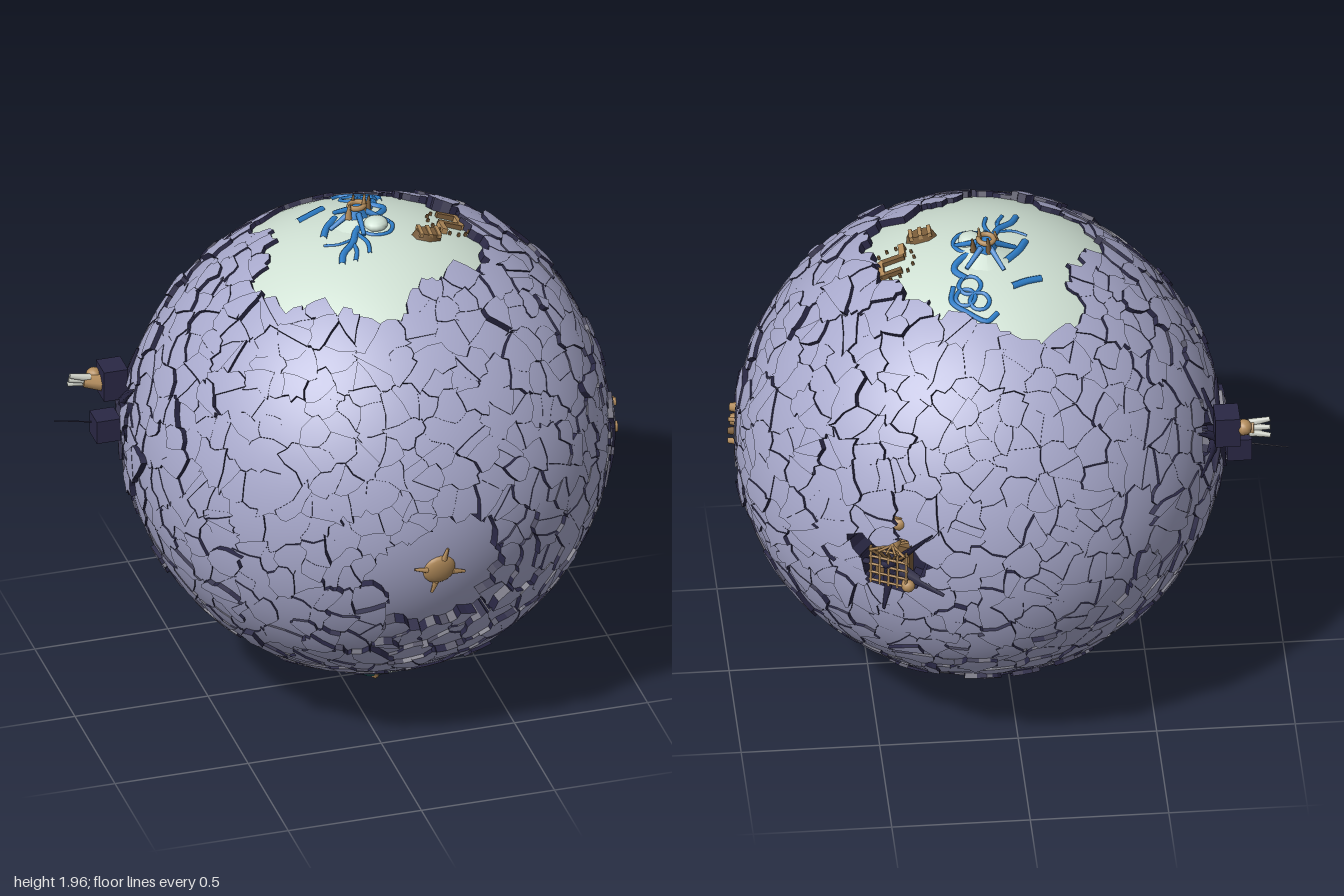
import * as THREE from 'three';
import { ConvexGeometry } from 'three/addons/geometries/ConvexGeometry.js';

const V = (x, y, z) => new THREE.Vector3(x, y, z);
const UP = V(0, 1, 0);
const mat = (name, color, side = THREE.FrontSide) => {
  const m = new THREE.MeshStandardMaterial({ color, side });
  m.name = name;
  return m;
};
const hash = (n) => { const s = Math.sin(n * 12.9898 + 4.137) * 43758.5453; return s - Math.floor(s); };

export function createModel() {
  const model = new THREE.Group();
  const M = {
    stone: mat('lavender stone', 0xa9aacd), dark: mat('dark rock', 0x2a2845),
    moss: mat('pale green ground', 0xd0e1d4, THREE.DoubleSide), blue: mat('blue water', 0x2f80cc),
    tan: mat('tan timber', 0xb48d5c), brown: mat('brown timber', 0x7d5f3c),
    teal: mat('teal glass', 0x2c8085), bone: mat('bone', 0xcfd2c8),
  };
  const planet = new THREE.Group();
  planet.name = 'planet';
  planet.position.set(0.1, 1, 0);
  model.add(planet);

  const add = (parent, name, geo, material, x = 0, y = 0, z = 0) => {
    const m = new THREE.Mesh(geo, material);
    m.name = name;
    m.position.set(x, y, z);
    parent.add(m);
    return m;
  };
  const box = (p, name, m, w, h, d, x, y, z) => add(p, name, new THREE.BoxGeometry(w, h, d), m, x, y, z);
  // Straight bar between two points
  const bar = (p, name, m, a, b, r, r2 = r) => {
    const d = b.clone().sub(a);
    const o = add(p, name, new THREE.CylinderGeometry(r2, r, d.length(), 6), m);
    o.position.copy(a).add(b).multiplyScalar(0.5);
    o.quaternion.setFromUnitVectors(UP, d.normalize());
    return o;
  };
  // Group standing on the sphere with its y axis pointing outwards
  const site = (name, dir, r) => {
    const g = new THREE.Group();
    g.name = name;
    const d = dir.clone().normalize();
    g.position.copy(d).multiplyScalar(r);
    g.quaternion.setFromUnitVectors(UP, d);
    planet.add(g);
    return g;
  };

  const crater = V(0.04, -0.16, 0.85).normalize();
  const latticeDir = V(0.39, 0.01, -0.79).normalize();
  const towerDir = V(-0.84, 0.13, -0.27).normalize();
  const ruinDir = V(0.86, 0.01, 0.14).normalize();

  // True where the stone shell is open
  const isOpen = (d) => {
    if (d.angleTo(crater) < 0.3) return true;
    if (d.angleTo(latticeDir) < 0.13 || d.angleTo(towerDir) < 0.11) return true;
    const x = d.x * 0.87, z = d.z * 0.87;
    if (d.y > 0) {
      const a = Math.atan2(z, x + 0.04);
      return Math.hypot(x + 0.04, z) < 0.4 + 0.03 * Math.sin(3 * a + 1) + 0.025 * Math.sin(5 * a);
    }
    return Math.hypot(x, z) < 0.335 + 0.03 * Math.sin(4 * Math.atan2(z, x));
  };
  // Broad swellings of the shell: direction and height
  const swellings = [[V(0.75, 0.3, -0.52), 0.042], [V(-0.85, 0.1, -0.25), 0.02], [V(0, 0.45, 0.8), 0.015],
    [V(0.55, 0.75, 0.1), 0.025], [V(0.95, 0, 0.1), 0.01]].map(([d, h]) => [d.normalize(), h]);
  // Outer radius of a stone plate
  const plateRadius = (d, i) => {
    const lift = hash(i + 9) < 0.1 ? 0.022 : hash(i) * 0.013;
    const sink = 1 - THREE.MathUtils.smoothstep(d.angleTo(crater), 0.27, 0.65);
    const swell = Math.max(...swellings.map(([s, h]) => h * (1 - THREE.MathUtils.smoothstep(d.angleTo(s), 0.15, 0.75))));
    return 0.86 + lift + swell - 0.05 * sink;
  };

  // Seeds of the plates, spread over the sphere with jitter
  const N = 1250, seeds = [];
  for (let i = 0; i < N; i++) {
    const y = 1 - (2 * i + 1) / N, r = Math.sqrt(1 - y * y), a = i * 2.399963;
    const p = V(r * Math.cos(a), y, r * Math.sin(a));
    p.add(V(hash(i * 3 + 1) - 0.5, hash(i * 3 + 2) - 0.5, hash(i * 3 + 3) - 0.5).multiplyScalar(0.16)).normalize();
    seeds.push(V(Math.fround(p.x), Math.fround(p.y), Math.fround(p.z)));
  }
  // Corners of each plate come from the triangles of the hull around the seeds
  const key = (p) => `${p.x},${p.y},${p.z}`;
  const index = new Map(seeds.map((p, i) => [key(p), i]));
  const cells = seeds.map(() => []);
  const hull = new ConvexGeometry(seeds).getAttribute('position');
  for (let t = 0; t < hull.count; t += 3) {
    const [a, b, c] = [0, 1, 2].map((k) => new THREE.Vector3().fromBufferAttribute(hull, t + k));
    const ids = [a, b, c].map((p) => index.get(key(p)));
    const centre = b.clone().sub(a).cross(c.clone().sub(a)).normalize();
    ids.forEach((i) => { if (i !== undefined) cells[i].push({ centre, ids }); });
  }
  // Plates: lavender tops, dark walls, jagged shared edges
  const tops = [], topNormals = [], walls = [];
  cells.forEach((cell, i) => {
    const n = seeds[i];
    if (cell.length < 3 || isOpen(n)) return;
    const u = V(n.z, 0, -n.x).normalize(), v = n.clone().cross(u);
    cell.forEach((c) => { c.angle = Math.atan2(c.centre.dot(v), c.centre.dot(u)); });
    const ring = [...cell].sort((p, q) => p.angle - q.angle), edge = [];
    ring.forEach((c, k) => {
      const next = ring[(k + 1) % ring.length];
      edge.push(c.centre.clone());
      const j = c.ids.find((id) => id !== i && next.ids.includes(id));
      if (j === undefined) return;
      const lo = Math.min(i, j), hi = Math.max(i, j);
      const mid = c.centre.clone().add(next.centre).multiplyScalar(0.5);
      edge.push(mid.addScaledVector(seeds[hi].clone().sub(seeds[lo]), (hash(lo * 7 + hi * 13) - 0.5) * 0.36).normalize());
    });
    const R = plateRadius(n, i);
    const rim = edge.map((p) => p.lerp(n, 0.01).normalize());
    rim.forEach((p, k) => {
      const q = rim[(k + 1) % rim.length];
      [n, p, q].forEach((d) => { tops.push(d.x * R, d.y * R, d.z * R); topNormals.push(d.x, d.y, d.z); });
      [[p, R], [p, 0.76], [q, 0.76], [p, R], [q, 0.76], [q, R]].forEach(([d, r]) => walls.push(d.x * r, d.y * r, d.z * r));
    });
  });
  const topGeo = new THREE.BufferGeometry();
  topGeo.setAttribute('position', new THREE.Float32BufferAttribute(tops, 3));
  topGeo.setAttribute('normal', new THREE.Float32BufferAttribute(topNormals, 3));
  const wallGeo = new THREE.BufferGeometry();
  wallGeo.setAttribute('position', new THREE.Float32BufferAttribute(walls, 3));
  wallGeo.computeVertexNormals();
  add(planet, 'stonePlates', topGeo, M.stone);
  add(planet, 'plateWalls', wallGeo, M.dark);
  add(planet, 'core', new THREE.SphereGeometry(0.765, 64, 40), M.dark);

  // Ground at the two poles
  const cap = (r, angle) => new THREE.SphereGeometry(r, 48, 16, 0, Math.PI * 2, 0, angle);
  add(planet, 'topGround', cap(0.854, 0.6), M.moss);
  add(planet, 'bottomGround', cap(0.858, 0.5), M.moss).rotation.x = Math.PI;

  // Sunken crater with a round shelter on four legs
  add(site('craterFloor', crater, 0), 'floor', cap(0.787, 0.38), M.stone);
  const shelter = site('craterShelter', crater, 0.782);
  add(shelter, 'shell', new THREE.SphereGeometry(0.062, 20, 10), M.tan).scale.y = 0.4;
  for (let k = 0; k < 4; k++) {
    const a = k * Math.PI / 2 + 0.2, c = Math.cos(a), s = Math.sin(a);
    bar(shelter, 'leg', M.tan, V(c * 0.05, 0.012, s * 0.05), V(c * 0.1, 0.01, s * 0.1), 0.011, 0.005);
  }

  // Rivers and pools on the top ground, in x and z
  const ground = (x, z, r = 0.855) => V(x, Math.sqrt(r * r - x * x - z * z), z);
  const river = (pts, r, closed = false) => add(planet, 'river', new THREE.TubeGeometry(
    new THREE.CatmullRomCurve3(pts.map(([x, z]) => ground(x - 0.1, z)), closed), 36, r, 6, closed), M.blue);
  river([[0.16, -0.19], [0.2, -0.14], [0.17, -0.09], [0.1, -0.05], [0.05, 0.02], [0.02, 0.08], [-0.03, 0.13], [-0.05, 0.18]], 0.013);
  river([[0.02, 0.08], [0.02, 0.13], [0.0, 0.18]], 0.008);
  river([[0.05, 0.03], [0.07, 0.1], [0.06, 0.16]], 0.008);
  river([[0.03, 0.06], [-0.03, 0.07], [-0.08, 0.05]], 0.006);
  river([[-0.11, -0.18], [-0.06, -0.2], [0, -0.23]], 0.014);
  river([[-0.07, 0.01], [-0.04, -0.05], [0.01, -0.11]], 0.014);
  river([[0.06, -0.34], [0.1, -0.37], [0.17, -0.33], [0.22, -0.28], [0.21, -0.22]], 0.01);
  [[0.12, -0.29, 0.035], [0.17, -0.27, 0.035], [0.15, -0.22, 0.04], [0.13, 0, 0.062]].forEach(([x, z, r]) =>
    river([0, 1, 2, 3, 4, 5].map((k) => [x + r * Math.cos(k * 1.047), z + r * Math.sin(k * 1.047)]), 0.008, true));

  // Central hill with streams and timber spires
  const hill = site('hill', V(-0.03, 0.85, -0.06), 0.848);
  add(hill, 'hillBase', new THREE.ConeGeometry(0.11, 0.05, 14), M.moss, 0.01, 0.02, 0);
  add(hill, 'hillTop', new THREE.CylinderGeometry(0.026, 0.045, 0.045, 8), M.blue, 0.01, 0.04, 0);
  for (let k = 0; k < 5; k++) {
    const a = k * 1.257 + 0.4, c = Math.cos(a), s = Math.sin(a);
    bar(hill, 'stream', M.blue, V(0.01 + c * 0.03, 0.045, s * 0.03), V(0.01 + c * 0.115, 0.003, s * 0.115), 0.012, 0.008);
  }
  add(hill, 'hillStone', new THREE.SphereGeometry(0.045, 14, 8), M.moss, 0.06, 0.012, 0.06).scale.y = 0.6;
  [[-0.03, 0.02, 0.085], [0, -0.03, 0.095], [0.03, 0.01, 0.11], [0.055, -0.02, 0.085]].forEach(([x, z, h], k) =>
    bar(hill, 'spire', k % 2 ? M.brown : M.tan, V(x, 0.03, z), V(x + 0.008, h, z), 0.014, 0.004));
  add(hill, 'spireRing', new THREE.TorusGeometry(0.028, 0.01, 6, 14), M.tan, 0.01, 0.067, 0).rotation.x = Math.PI / 2;

  // Timber ruins on the top ground
  const hut = site('hut', V(0.2, 0.83, 0.08), 0.855);
  add(hut, 'hutBase', new THREE.CylinderGeometry(0.05, 0.06, 0.03, 7), M.brown, 0, 0.008, 0).scale.z = 0.6;
  for (let k = 0; k < 3; k++) box(hut, 'hutBeam', M.tan, 0.014, 0.016, 0.06, -0.034 + k * 0.034, 0.02, 0);
  const yard = site('yard', V(0.3, 0.8, -0.03), 0.852);
  [[0.08, 0.018, 0.02, -0.055], [0.018, 0.08, 0.055, -0.02], [0.09, 0.022, 0.01, 0.015], [0.022, 0.06, -0.03, 0.05]].forEach(
    ([w, d, x, z], k) => box(yard, 'yardWall', k % 2 ? M.tan : M.brown, w, 0.024, d, x, 0.006, z));
  for (let k = 0; k < 14; k++) {
    box(yard, 'yardPost', M.brown, 0.009, 0.014, 0.009, 0.01 + 0.08 * Math.cos(k * 0.449), 0.004, 0.08 * Math.sin(k * 0.449));
  }

  // Glass dome under the planet with timber ribs
  const dome = new THREE.Group();
  dome.name = 'glassDome';
  dome.position.set(0.01, -0.875, 0.02);
  dome.rotation.x = Math.PI;
  planet.add(dome);
  add(dome, 'glass', new THREE.SphereGeometry(0.115, 32, 12, 0, Math.PI * 2, 0, Math.PI / 2), M.teal);
  add(dome, 'rim', new THREE.TorusGeometry(0.117, 0.01, 8, 36), M.tan).rotation.x = Math.PI / 2;
  add(dome, 'collar', new THREE.CylinderGeometry(0.19, 0.27, 0.035, 28), M.moss, 0, -0.018, 0);
  for (let k = 0; k < 2; k++) {
    add(dome, 'rib', new THREE.TorusGeometry(0.116, 0.008, 6, 24, Math.PI), M.tan).rotation.y = k * Math.PI / 2 + 0.1;
  }
  // Pools around the dome
  for (let k = 0; k < 9; k++) {
    const a = k * 0.7 + 0.3, s = 0.27 + 0.05 * hash(k);
    const pool = site('pool', V(s * Math.cos(a), -0.81, s * Math.sin(a)), 0.86);
    add(pool, 'water', new THREE.SphereGeometry(0.025, 8, 6), M.blue).scale.set(1.5, 0.4, 0.6);
  }

  // Timber lattice in the rear cavity
  const lattice = new THREE.Group();
  lattice.name = 'lattice';
  lattice.position.copy(latticeDir).multiplyScalar(0.86);
  lattice.lookAt(planet.position.clone().add(latticeDir.clone().multiplyScalar(3)).sub(planet.position));
  planet.add(lattice);
  box(lattice, 'latticeBack', M.brown, 0.13, 0.15, 0.04, 0, 0, -0.03);
  for (let k = -2; k <= 2; k++) {
    const o = k * 0.034;
    bar(lattice, 'latticePost', M.tan, V(o, -0.08, 0.03), V(o, 0.08, 0.03), 0.005);
    bar(lattice, 'latticeRail', M.tan, V(-0.075, o, 0.03), V(0.075, o, 0.03), 0.005);
    bar(lattice, 'latticeStrut', M.brown, V(o, -0.075, -0.05), V(-o, 0.075, 0.045), 0.006);
    bar(lattice, 'latticeStay', M.tan, V(o, 0.075, -0.06), V(-o, 0.075, 0.05), 0.005);
  }
  add(lattice, 'lamp', new THREE.SphereGeometry(0.028, 12, 8), M.tan, 0.02, 0.17, -0.02);
  bar(lattice, 'mast', M.tan, V(0.01, 0.06, -0.02), V(0.02, 0.2, -0.02), 0.016);
  add(lattice, 'lowerLamp', new THREE.SphereGeometry(0.026, 12, 8), M.tan, 0.07, -0.07, 0.015);
  box(lattice, 'mossPatch', M.moss, 0.06, 0.09, 0.02, 0.08, 0.11, -0.04).rotation.z = 0.3;

  // Dark splinters radiating from the rear and side cavities
  [[latticeDir, 0.868, 5], [towerDir, 0.888, 7]].forEach(([dir, r, count]) => {
    const star = site('splinters', dir, r);
    for (let k = 0; k < count; k++) {
      const a = k * 2 * Math.PI / count + 0.3, len = 0.17 + 0.06 * hash(k + count);
      const s = bar(star, 'splinter', M.dark, V(0, 0, 0), V(Math.cos(a) * len, -0.02, Math.sin(a) * len), 0.035, 0.006);
      s.scale.set(1, 1, 0.5);
    }
  });

  // Outpost on the right side: dark blocks, clawed arm and needle
  const outpost = new THREE.Group();
  outpost.name = 'outpost';
  model.add(outpost);
  box(outpost, 'lowerBlock', M.dark, 0.09, 0.09, 0.09, -0.82, 1.06, -0.22);
  box(outpost, 'upperBlock', M.dark, 0.09, 0.12, 0.1, -0.77, 1.2, -0.3);
  bar(outpost, 'arm', M.tan, V(-0.79, 1.19, -0.3), V(-0.87, 1.2, -0.32), 0.036, 0.026);
  add(outpost, 'shoulder', new THREE.SphereGeometry(0.03, 10, 8), M.tan, -0.83, 1.21, -0.33);
  [-1, 0, 1].forEach((k) =>
    bar(outpost, 'claw', M.bone, V(-0.85, 1.2 + k * 0.014, -0.32 + k * 0.01), V(-0.925, 1.205 + k * 0.025, -0.33 + k * 0.015), 0.015, 0.009));
  bar(outpost, 'needle', M.dark, V(-0.83, 1.07, -0.23), V(-0.995, 1.075, -0.28), 0.003, 0.002);

  // Small ruins on the left side
  const ruins = site('sideRuins', ruinDir, 0.872);
  [[0.02, 0.05, 0.04], [0.01, -0.06, 0.025], [-0.055, 0.0, 0.03], [0.055, -0.05, 0.02], [-0.03, -0.05, 0.015]].forEach(([x, z, s], k) =>
    add(ruins, 'ruin', new THREE.CylinderGeometry(s * 0.5, s * 0.7, 0.045, 6), k === 1 ? M.brown : M.tan, x, 0.005, z));

  return model;
}
